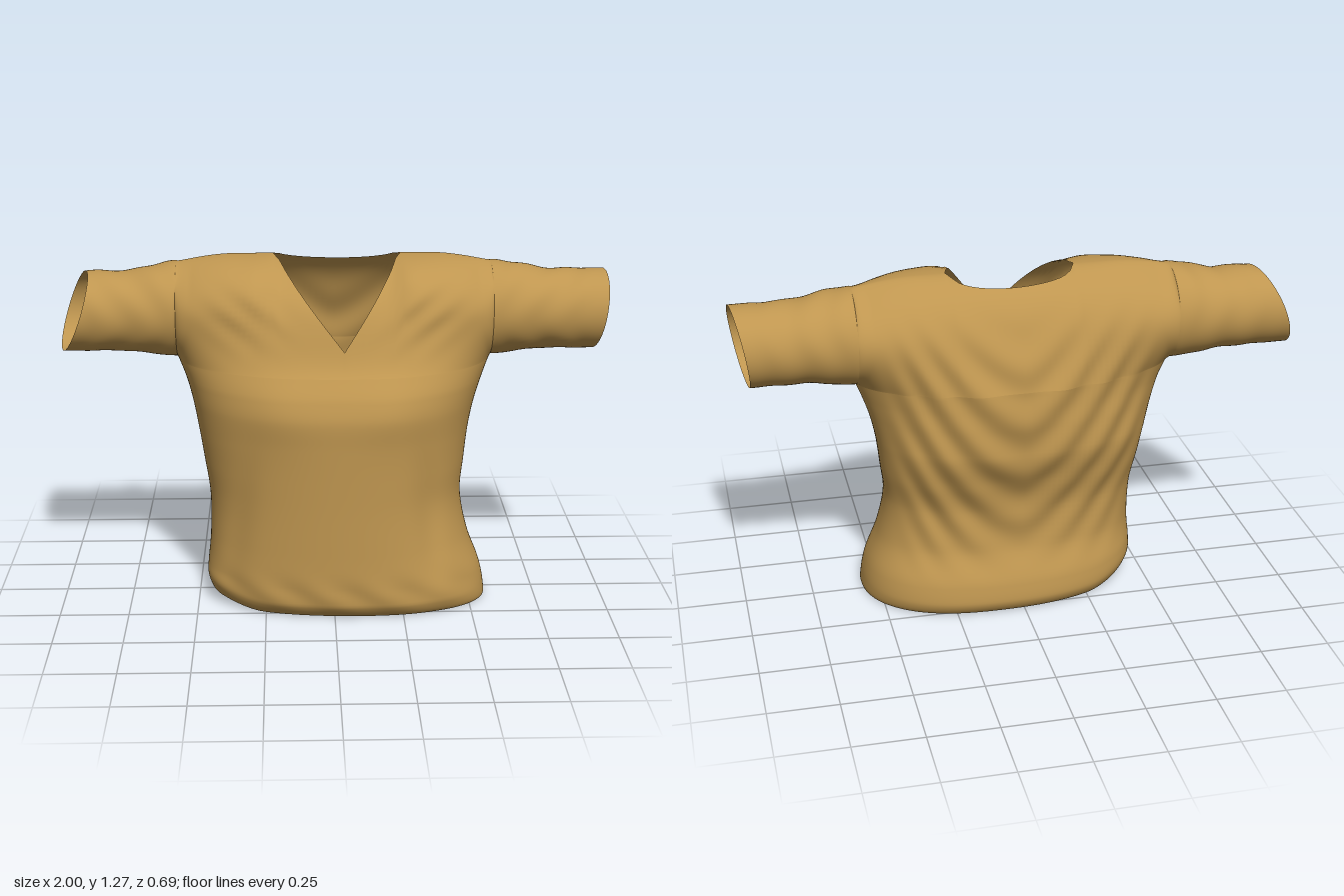
import * as THREE from 'three';
import { mergeVertices } from 'three/addons/utils/BufferGeometryUtils.js';

const V = (a, b, c) => new THREE.Vector3(a, b, c);
const { lerp, smoothstep, clamp } = THREE.MathUtils;
const bump = (v, c, w) => Math.exp(-(((v - c) / w) ** 2));

// Body sections from the tucked hem up to the armpits: height, right side x, left side x
const widths = new THREE.CatmullRomCurve3([
  V(0.06, -0.41, 0.5), V(0.008, -0.44, 0.56), V(0.06, -0.465, 0.56), V(0.13, -0.465, 0.545),
  V(0.25, -0.455, 0.5), V(0.4, -0.455, 0.472), V(0.53, -0.475, 0.485), V(0.65, -0.495, 0.5),
  V(0.75, -0.515, 0.522), V(0.83, -0.537, 0.548), V(0.9, -0.565, 0.575)]);
// Same sections: front z, back z, z of the side seam
const depths = new THREE.CatmullRomCurve3([
  V(0.25, -0.23, 0.05), V(0.285, -0.27, 0.05), V(0.33, -0.302, 0.04), V(0.335, -0.292, 0.03),
  V(0.335, -0.25, 0.015), V(0.335, -0.25, -0.01), V(0.337, -0.285, -0.035), V(0.34, -0.325, -0.05),
  V(0.342, -0.333, -0.065), V(0.32, -0.335, -0.075), V(0.28, -0.335, -0.085)]);

const SIDE_Z = -0.085, ARMPIT = 0.9, NECK_X = 0.035;
const FRONT_ROUND = 2.15, BACK_ROUND = 1.9;
const topEdge = x => 1.205 + 0.07 * (1 - smoothstep(Math.abs(x), 0.35, 0.85));

// Position of a body column between the side seams, -1 to 1, and its x
const across = u => Math.sin((u - 0.5) * Math.PI);
const columnX = (u, right, left) =>
  (right + left) / 2 + (left - right) / 2 * across(u) + 0.03 * Math.cos((u - 0.5) * Math.PI) ** 4;
// Bulge of a section, 0 at the seams and 1 in the middle
const bulge = (u, p) => Math.max(0, 1 - Math.abs(across(u)) ** p) ** (1 / p);

function bodyPoint(u, v, side) {
  const w = widths.getPoint(v), d = depths.getPoint(v), x = columnX(u, w.y, w.z);
  const round = side > 0 ? FRONT_ROUND : lerp(2.35, BACK_ROUND, smoothstep(w.x, 0.5, 0.9));
  const lift = 0.03 * smoothstep(-x, 0.25, 0.46) * (1 - smoothstep(w.x, 0.05, 0.2));
  return [x, w.x + lift, d.z + ((side > 0 ? d.x : d.y) - d.z) * bulge(u, round)];
}

// Shoulder yoke: arcs from chest height over the shoulders, cut short by the V neck
function yokePoint(u, v, side) {
  const x = columnX(u, -0.565, 0.575), top = topEdge(x);
  const n = Math.min(1, Math.abs(x - NECK_X) / (x < NECK_X ? 0.235 : 0.195));
  const limit = side > 0
    ? lerp((0.985 - ARMPIT) / (top - ARMPIT), 1, n)
    : 1 - 0.1 * Math.sqrt(1 - n * n);
  const theta = v * Math.acos(1 - 2 * limit);
  const f = (1 - Math.cos(theta)) / 2;
  const full = bulge(u, lerp(side > 0 ? FRONT_ROUND : BACK_ROUND, 1.6, smoothstep(f, 0, 0.5)));
  // Front shoulders stand fuller than the neck edge and the back
  const square = side > 0 ? smoothstep(Math.abs(x), 0.17, 0.3) : 0;
  const drop = side > 0 ? lerp(0.38 * f, 0.22 * (1 - Math.exp(-4 * f)), Math.max(square, 1 - f)) : 0.38 * f;
  const slope = (1 - drop) * Math.sqrt(Math.max(0, 1 - f ** (4 + 3 * square)));
  const reach = side > 0 ? 0.365 : 0.25;
  // The round of the armhole eases into the flat of the chest
  const armRound = Math.max(0, Math.sin(theta)) ** (1 + Math.min(1.2, 4 * full));
  const depth = (1 - full) * 0.165 * armRound + reach * full * slope;
  return [x, lerp(ARMPIT, top, f), SIDE_Z + side * depth];
}

// Sleeves: tubes with slanted cuffs
const sleevePoint = dir => (u, v, side) => {
  const k = dir > 0 ? u : 1 - u, theta = v * Math.PI;
  const ny = -Math.cos(theta), nz = side * Math.sin(theta);
  const root = dir > 0 ? 0.575 : -0.565;
  const end = dir > 0 ? 0.97 + 0.022 * ny + 0.015 * nz : -(0.94 - 0.05 * ny - 0.032 * nz);
  const bottom = lerp(ARMPIT, 0.92, smoothstep(k, 0, 0.5));
  const top = lerp(topEdge(root), 1.212, smoothstep(k, 0, 0.6));
  const r = lerp(0.165, 0.147, smoothstep(k, 0, 0.7));
  return [lerp(root, end, k), (top + bottom) / 2 + (top - bottom) / 2 * ny, SIDE_Z + r * nz];
};

// Cloth folds, as an offset along z (body) or outwards (sleeves)
function addFolds(p) {
  const ax = Math.abs(p.x), back = p.z < SIDE_Z;
  if (back) {
    // Hanging swags across the back
    const level = p.y - 2 * ax ** 1.5;
    const fade = smoothstep(p.y, 0.12, 0.4) * (1 - smoothstep(p.y, 0.95, 1.22));
    const away = smoothstep(SIDE_Z - p.z, 0.02, 0.14) * (1 - smoothstep(ax, 0.34, 0.52));
    p.z += 0.008 * Math.sin(level * 30 + 0.8 * Math.sin(p.x * 6)) * fade * away;
  } else {
    const away = smoothstep(p.z - SIDE_Z, 0.03, 0.2);
    // Bust, hollows running down from the armpits, ripples above the hem
    let d = 0.01 * bump(ax, 0.21, 0.12) * bump(p.y, 0.8, 0.12);
    d -= 0.018 * bump(p.x, 0.34 + 0.1 * (0.4 - p.y), 0.05) * bump(p.y, 0.38, 0.22);
    d -= 0.012 * bump(p.x, -0.34 - 0.15 * (0.4 - p.y), 0.05) * bump(p.y, 0.3, 0.25);
    d += 0.005 * Math.sin(p.x * 30 + p.y * 25) * bump(p.y, 0.1, 0.05);
    // Creases from the neck to the shoulders
    d += 0.005 * Math.sin((p.y - 0.75 * ax) * 55) * bump(p.y, 1.1, 0.1) * bump(ax, 0.32, 0.12);
    p.z += d * away;
  }
  // Sleeve wrinkles
  const arm = smoothstep(ax, 0.52, 0.66) * (1 - smoothstep(ax, 0.85, 0.97)) * smoothstep(p.y, 0.9, 0.95);
  const k = 1 + 0.016 * arm * Math.sin(ax * 44 + p.z * 24 + 2 * Math.sin(p.y * 14));
  p.y = 1.065 + (p.y - 1.065) * k;
  p.z = SIDE_Z + (p.z - SIDE_Z) * k;
}

export function createModel() {
  const group = new THREE.Group();
  const cloth = new THREE.MeshStandardMaterial({ color: 0xbf9650, side: THREE.DoubleSide });
  cloth.name = 'tan cloth';

  const positions = [], index = [], parts = [];
  // Front and back grids of one panel
  function addPanel(nu, nv, point) {
    for (const side of [1, -1]) {
      const base = positions.length / 3;
      for (let j = 0; j <= nv; j++)
        for (let i = 0; i <= nu; i++) positions.push(...point(i / nu, j / nv, side));
      for (let j = 0; j < nv; j++)
        for (let i = 0; i < nu; i++) {
          const a = base + j * (nu + 1) + i, b = a + 1, c = b + nu + 1, d = a + nu + 1;
          if (side > 0) index.push(a, b, c, a, c, d);
          else index.push(a, c, b, a, d, c);
        }
    }
  }
  function addPart(name, nu, panels) {
    const start = index.length;
    for (const [nv, point] of panels) addPanel(nu, nv, point);
    parts.push({ name, start, end: index.length });
  }
  addPart('bodice', 80, [[70, bodyPoint], [32, yokePoint]]);
  addPart('leftSleeve', 32, [[32, sleevePoint(1)]]);
  addPart('rightSleeve', 32, [[32, sleevePoint(-1)]]);

  // Weld the parts so that shading runs smoothly over the seams
  let shirt = new THREE.BufferGeometry();
  shirt.setAttribute('position', new THREE.Float32BufferAttribute(positions, 3));
  shirt.setIndex(index);
  shirt = mergeVertices(shirt, 1e-4);
  const pos = shirt.attributes.position, p = new THREE.Vector3();
  for (let i = 0; i < pos.count; i++) {
    addFolds(p.fromBufferAttribute(pos, i));
    pos.setXYZ(i, clamp(p.x, -1, 1), Math.max(0, p.y), p.z);
  }
  shirt.computeVertexNormals();

  const welded = Array.from(shirt.index.array);
  for (const { name, start, end } of parts) {
    const piece = shirt.clone();
    piece.setIndex(welded.slice(start, end));
    const mesh = new THREE.Mesh(piece.toNonIndexed(), cloth);
    mesh.name = name;
    group.add(mesh);
  }
  return group;
}
